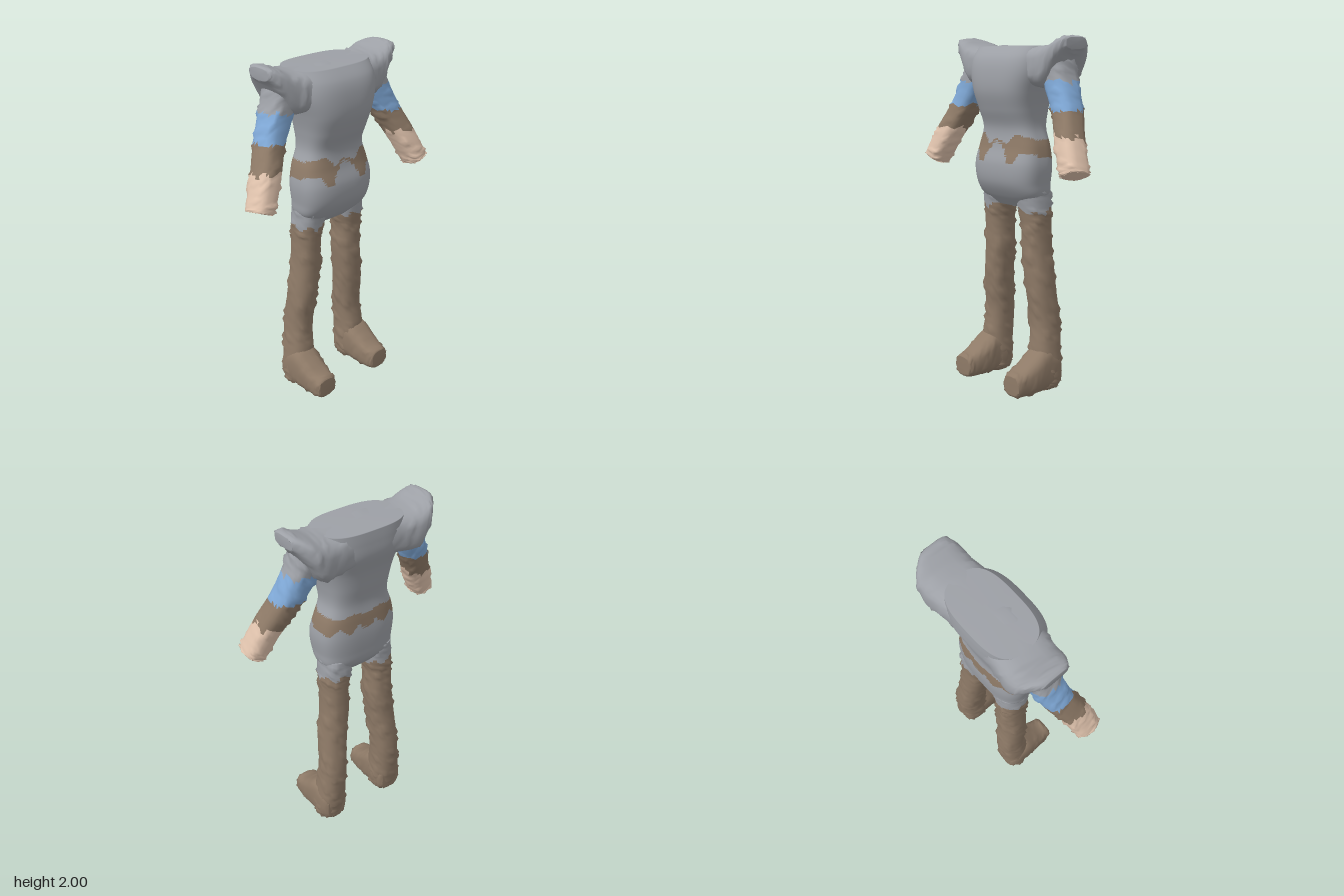
import * as THREE from 'three';

const paint = (name, color) => {
  const m = new THREE.MeshStandardMaterial({ color });
  m.name = name;
  return m;
};

// Smooth interpolation of one ring [x, y, z, radiusU, radiusV] at t in 0..1
function ringAt(rings, t) {
  const f = t * (rings.length - 1);
  const i = Math.min(Math.floor(f), rings.length - 2), k = f - i;
  const at = j => rings[Math.max(0, Math.min(rings.length - 1, j))];
  const [A, B, C, D] = [at(i - 1), at(i), at(i + 1), at(i + 2)];
  return B.map((b, n) => {
    const m0 = (C[n] - A[n]) / 2, m1 = (D[n] - b) / 2, d = C[n] - b;
    return b + m0 * k + (3 * d - 2 * m0 - m1) * k * k + (m0 + m1 - 2 * d) * k * k * k;
  });
}

// Closed skin over superellipse rings; colourAt(x, y, z) picks a material index per face
function loft(name, rings, u, v, { segs = 24, rows = 30, power = 2.5, spike = 0, seed = 1, mats, colourAt = () => 0 }) {
  let s = seed;
  const rand = () => (s = (s * 16807) % 2147483647) / 2147483647;
  for (let i = 0; i < 5; i++) rand();
  const pos = [];
  const put = p => pos.push(p.x, THREE.MathUtils.clamp(p.y, 0, 2), p.z);
  const pw = c => Math.sign(c) * Math.abs(c) ** (2 / power);
  for (let r = 0; r <= rows; r++) {
    const [x, y, z, a, b] = ringAt(rings, r / rows);
    for (let j = 0; j < segs; j++) {
      const th = (j / segs) * Math.PI * 2;
      const off = u.clone().multiplyScalar(a * pw(Math.cos(th))).addScaledVector(v, b * pw(Math.sin(th)));
      const bump = rand() > 0.92 ? spike : spike * 0.25 * (rand() - 0.5);
      off.setLength(off.length() + bump);
      put(off.add(new THREE.Vector3(x, y, z)));
    }
  }
  const first = rings[0], last = rings[rings.length - 1];
  const c0 = pos.length / 3, c1 = c0 + 1;
  put(new THREE.Vector3(...first.slice(0, 3)));
  put(new THREE.Vector3(...last.slice(0, 3)));

  const dir = new THREE.Vector3(last[0] - first[0], last[1] - first[1], last[2] - first[2]);
  const flip = new THREE.Vector3().crossVectors(u, v).dot(dir) < 0;
  const faces = mats.map(() => []);
  const tri = (a, b, c) => {
    const mid = k => (pos[a * 3 + k] + pos[b * 3 + k] + pos[c * 3 + k]) / 3;
    faces[colourAt(mid(0), mid(1), mid(2))].push(...(flip ? [a, c, b] : [a, b, c]));
  };
  for (let j = 0; j < segs; j++) {
    const n = (j + 1) % segs, top = rows * segs;
    for (let r = 0; r < rows; r++) {
      const a = r * segs + j, b = r * segs + n;
      tri(a, b, a + segs);
      tri(b, b + segs, a + segs);
    }
    tri(c0, n, j);
    tri(c1, top + j, top + n);
  }
  const g = new THREE.BufferGeometry();
  g.setAttribute('position', new THREE.Float32BufferAttribute(pos, 3));
  g.setIndex(faces.flat());
  let start = 0;
  faces.forEach((f, i) => {
    if (f.length) g.addGroup(start, f.length, i);
    start += f.length;
  });
  g.computeVertexNormals();
  const mesh = new THREE.Mesh(g, mats);
  mesh.name = name;
  return mesh;
}

// Triangle wave from -1 to 1 for torn colour edges
const zig = t => 4 * Math.abs(t - Math.floor(t + 0.5)) - 1;

// Piecewise linear lookup in [[x, y], ...]
function lookup(table, x) {
  for (let i = 1; i < table.length; i++) {
    const [x0, y0] = table[i - 1], [x1, y1] = table[i];
    if (x <= x1) return y0 + ((y1 - y0) * (x - x0)) / (x1 - x0);
  }
  return table[table.length - 1][1];
}

export function createModel() {
  const model = new THREE.Group();
  model.name = 'headlessFigure';
  const grey = paint('tunicGrey', 0x9da0a6), brown = paint('leatherBrown', 0x8e7a67);
  const blue = paint('sleeveBlue', 0x7fa8d6), skin = paint('skin', 0xe0c3ad);
  const X = new THREE.Vector3(1, 0, 0), Y = new THREE.Vector3(0, 1, 0), Z = new THREE.Vector3(0, 0, 1);

  // Torso with a ragged belt
  const beltTop = [[0, 1.445], [0.07, 1.41], [0.13, 1.47], [0.2, 1.45], [0.25, 1.43]];
  const beltLow = [[0, 1.44], [0.07, 1.37], [0.1, 1.31], [0.14, 1.31], [0.17, 1.37], [0.25, 1.36]];
  const belt = (x, y, z) => {
    const ax = Math.abs(x);
    const [hi, lo] = z > 0.03
      ? [lookup(beltTop, ax), lookup(beltLow, ax)]
      : [1.44 + 0.01 * zig(x * 6), 1.355 + 0.025 * zig(x * 9)];
    return y < hi && y > lo ? 1 : 0;
  };
  model.add(loft('torso', [
    [0, 1.06, -0.02, 0.13, 0.06],
    [0, 1.12, -0.015, 0.22, 0.11],
    [0, 1.2, 0, 0.236, 0.138],
    [0, 1.3, 0, 0.243, 0.145],
    [0, 1.4, -0.01, 0.225, 0.13],
    [0, 1.5, -0.01, 0.192, 0.123],
    [0, 1.6, 0, 0.198, 0.15],
    [0, 1.7, 0.005, 0.22, 0.174],
    [0, 1.8, -0.01, 0.25, 0.188],
    [0, 1.88, -0.022, 0.255, 0.178],
    [0, 1.945, -0.045, 0.25, 0.15],
  ], X, Z, { segs: 80, rows: 90, power: 3, mats: [grey, brown], colourAt: belt }));

  // Shoulder yoke running from side to side, flaring to upturned tips
  const half = [
    [0.2, 1.835, -0.045, 0.11, 0.155],
    [0.3, 1.84, -0.06, 0.113, 0.155],
    [0.37, 1.905, -0.06, 0.073, 0.14],
    [0.42, 1.948, -0.045, 0.046, 0.1],
    [0.445, 1.955, -0.04, 0.03, 0.07],
  ];
  const mirrored = half.map(([x, ...rest]) => [-x, ...rest]).reverse();
  model.add(loft('shoulderYoke', [...mirrored, [0, 1.845, -0.04, 0.1, 0.145], ...half],
    Y, Z, { segs: 28, rows: 50, power: 3, spike: 0.008, seed: 11, mats: [grey] }));

  for (const [side, s] of [['left', 1], ['right', -1]]) {
    const place = rings => rings.map(([x, ...rest]) => [x * s, ...rest]);

    // Arm: tunic, sleeve, bracer and hand
    const along = new THREE.Vector3(0.4 * s, -0.88, 0.2).normalize();
    const u = new THREE.Vector3(0.91 * s, 0.414, 0).normalize();
    const v = new THREE.Vector3().crossVectors(u, along).normalize();
    if (v.z < 0) v.negate();
    model.add(loft(side + 'Arm', place([
      [0.3, 1.87, -0.035, 0.09, 0.1],
      [0.345, 1.755, -0.03, 0.08, 0.088],
      [0.425, 1.6, 0.0, 0.072, 0.08],
      [0.505, 1.44, 0.06, 0.069, 0.077],
      [0.57, 1.31, 0.095, 0.066, 0.075],
      [0.585, 1.285, 0.1, 0.06, 0.068],
    ]), u, v, {
      segs: 24, rows: 44, power: 2.8, spike: 0.01, seed: 21 + s, mats: [grey, blue, brown, skin],
      colourAt: (x, y, z) => {
        const j = zig(z * 12 + x * 5);
        if (y > 1.755 + 0.015 * j) return 0;
        if (y > 1.61 + 0.008 * j) return 1;
        return y > 1.47 + 0.02 * j + 0.25 * (z - 0.05) ? 2 : 3;
      },
    }));

    // Leg with a torn upper edge
    model.add(loft(side + 'Leg', place([
      [0.14, 1.16, -0.02, 0.085, 0.1],
      [0.145, 1.05, -0.03, 0.089, 0.092],
      [0.155, 0.95, -0.035, 0.077, 0.085],
      [0.158, 0.8, -0.04, 0.079, 0.085],
      [0.18, 0.6, -0.048, 0.079, 0.085],
      [0.195, 0.4, -0.068, 0.076, 0.085],
      [0.205, 0.25, -0.06, 0.081, 0.09],
      [0.213, 0.1, -0.05, 0.09, 0.088],
      [0.213, 0.03, -0.05, 0.08, 0.075],
      [0.213, 0.005, -0.05, 0.05, 0.05],
    ]), X, Z, {
      segs: 24, rows: 60, power: 2.4, spike: 0.012, seed: 41 + s, mats: [grey, brown],
      colourAt: (x, y, z) => (y > 1.045 + 0.022 * zig(x * 9 + z * 7) ? 0 : 1),
    }));

    // Foot with a blunt toe
    model.add(loft(side + 'Foot', place([
      [0.213, 0.1, -0.13, 0.06, 0.07],
      [0.213, 0.112, -0.1, 0.083, 0.105],
      [0.215, 0.13, 0, 0.09, 0.125],
      [0.215, 0.105, 0.08, 0.086, 0.1],
      [0.215, 0.084, 0.15, 0.077, 0.076],
      [0.217, 0.078, 0.2, 0.067, 0.065],
      [0.217, 0.08, 0.212, 0.056, 0.052],
    ]), X, Y, { segs: 24, rows: 24, power: 2.8, spike: 0.008, seed: 61 + s, mats: [brown] }));
  }
  return model;
}
